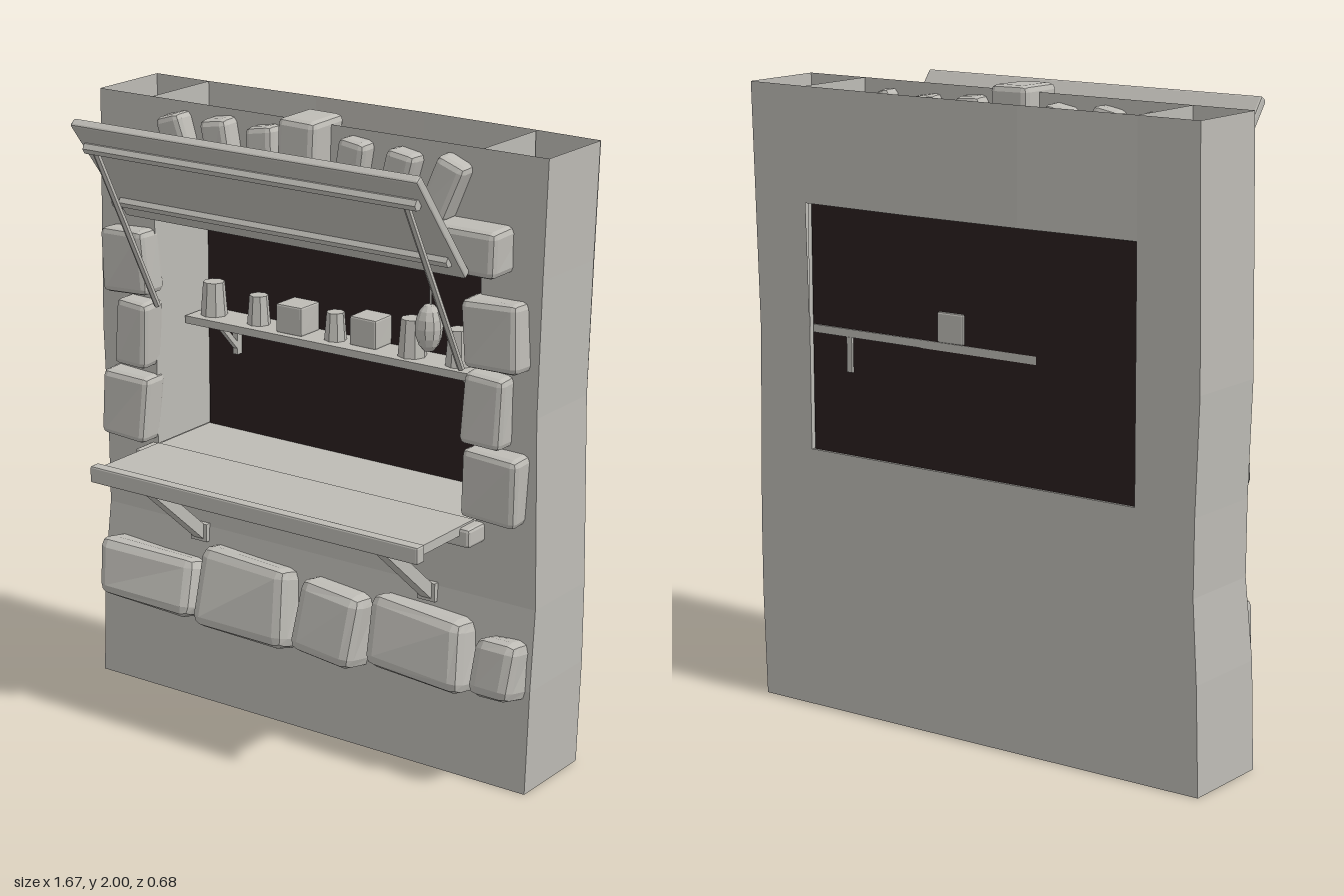
import * as THREE from 'three';
import { RoundedBoxGeometry } from 'three/addons/geometries/RoundedBoxGeometry.js';

const stoneGrey = new THREE.MeshStandardMaterial({ color: 0xbdbbb5, flatShading: true, side: THREE.DoubleSide });
stoneGrey.name = 'stone grey';
const darkBrown = new THREE.MeshStandardMaterial({ color: 0x2a1e1f, side: THREE.DoubleSide });
darkBrown.name = 'dark brown';

export function createModel() {
  const root = new THREE.Group();
  root.name = 'marketStallWall';

  const add = (name, geometry, x = 0, y = 0, z = 0, material = stoneGrey) => {
    const mesh = new THREE.Mesh(geometry, material);
    mesh.name = name;
    mesh.position.set(x, y, z);
    root.add(mesh);
    return mesh;
  };
  // Box given by its limits on each axis
  const box = (name, [x0, x1], [y0, y1], [z0, z1], material) =>
    add(name, new THREE.BoxGeometry(x1 - x0, y1 - y0, z1 - z0),
      (x0 + x1) / 2, (y0 + y1) / 2, (z0 + z1) / 2, material);
  // Square or round bar between two points
  const bar = (name, a, b, radius, sides = 6) => {
    const from = new THREE.Vector3(...a), to = new THREE.Vector3(...b);
    const dir = to.clone().sub(from);
    const geo = new THREE.CylinderGeometry(radius, radius, dir.length(), sides);
    if (sides === 4) geo.rotateY(Math.PI / 4);
    const mesh = add(name, geo);
    mesh.position.copy(from).add(to).multiplyScalar(0.5);
    mesh.quaternion.setFromUnitVectors(new THREE.Vector3(0, 1, 0), dir.normalize());
    return mesh;
  };
  // Chamfered, slightly uneven stone
  const stone = (name, [x0, x1], [y0, y1], [z0, z1], rough = 0.01, radius = 0.02) => {
    const geo = new RoundedBoxGeometry(x1 - x0, y1 - y0, z1 - z0, 1, radius);
    const p = geo.attributes.position;
    for (let i = 0; i < p.count; i++) {
      const x = p.getX(i), y = p.getY(i), z = p.getZ(i), s = x0 * 37 + y0 * 19;
      p.setXYZ(i, x + rough * Math.sin(s + y * 14 + z * 9),
        y + rough * Math.sin(s * 1.7 + x * 11 + z * 8),
        z + rough * Math.sin(s * 2.3 + x * 9 + y * 12));
    }
    geo.computeVertexNormals();
    return add(name, geo, (x0 + x1) / 2, (y0 + y1) / 2, (z0 + z1) / 2);
  };

  // Hollow wall: rows of y, left x, right x, front z, open at the top
  const rows = [
    [0, -0.84, 0.815, -0.02], [0.34, -0.83, 0.825, -0.02], [0.6, -0.815, 0.825, -0.04],
    [0.84, -0.817, 0.82, -0.04], [1.2, -0.83, 0.812, -0.04], [1.62, -0.825, 0.82, -0.04],
    [1.98, -0.82, 0.83, -0.04],
  ];
  const hole = 0.61, back = -0.325, pos = [];
  const quad = (a, b, c, d) => pos.push(...a, ...b, ...c, ...a, ...c, ...d);
  const strip = (x0, x1, x2, x3, y0, y1, z0, z1, z2, z3) =>
    quad([x0, y0, z0], [x1, y0, z1], [x2, y1, z2], [x3, y1, z3]);
  const backZ = (x, y) => back - (y > 1.6 ? 0.02 * Math.max(0, Math.cos((x - 0.15) * 2.1)) : 0);
  for (let i = 0; i < rows.length - 1; i++) {
    const [y0, l0, r0, f0] = rows[i], [y1, l1, r1, f1] = rows[i + 1];
    strip(l0, l0, l1, l1, y0, y1, back, f0, f1, back);
    strip(r0, r0, r1, r1, y0, y1, f0, back, back, f1);
    const xs0 = [l0, -hole, -0.2, 0.2, hole, r0], xs1 = [l1, -hole, -0.2, 0.2, hole, r1];
    for (let k = 0; k < 5; k++) {
      const a = xs0[k], b = xs0[k + 1], c = xs1[k + 1], d = xs1[k];
      if (k > 0 && k < 4 && (i === 3 || i === 4)) continue;
      strip(a, b, c, d, y0, y1, f0, f0, f1, f1);
      strip(b, a, d, c, y0, y1, backZ(b, y0), backZ(a, y0), backZ(d, y1), backZ(c, y1));
    }
    // Inner sides of the opening, running on as dividers to the top
    if (i > 2) {
      strip(-hole, -hole, -hole, -hole, y0, y1, f0, back, back, f1);
      strip(hole, hole, hole, hole, y0, y1, back, f0, f1, back);
    }
  }
  const [, l, r, f] = rows[0];
  quad([l, 0, back], [r, 0, back], [r, 0, f], [l, 0, f]);
  // Ceiling of the opening
  quad([-hole, 1.62, back], [hole, 1.62, back], [hole, 1.62, -0.04], [-hole, 1.62, -0.04]);
  const wall = new THREE.BufferGeometry();
  wall.setAttribute('position', new THREE.Float32BufferAttribute(pos, 3));
  wall.computeVertexNormals();
  add('wall', wall);

  // Dark panel closing the back of the opening, slightly recessed
  box('backPanel', [-0.605, 0.605], [0.84, 1.617], [-0.314, -0.307], darkBrown);

  // Jamb stones on both sides
  [[0.86, 1.08, 0.785], [1.1, 1.32, 0.73], [1.34, 1.55, 0.78]].forEach(([y0, y1, x]) => {
    stone('leftJambStone', [0.59, x], [y0, y1], [-0.07, 0.03], 0.006);
    stone('rightJambStone', [-x, -0.605], [y0, y1], [-0.07, 0.03], 0.006);
  });

  // Lintel with a fanned row of stones and a keystone
  stone('lintel', [-0.705, 0.72], [1.625, 1.765], [-0.11, 0.068], 0.003);
  stone('keystone', [-0.065, 0.07], [1.765, 2], [-0.11, 0.055], 0.003);
  [-0.49, -0.32, -0.16, 0.165, 0.335, 0.5].forEach((x) => {
    const s = stone('archStone', [x - 0.05, x + 0.05], [1.765, 1.95], [-0.09, 0.02], 0.006);
    s.rotation.z = -x * 0.65;
  });

  // Large rough stones along the foot, leaning back
  [[-0.79, -0.41, 0.3, 0.495], [-0.385, -0.035, 0.285, 0.545], [0, 0.24, 0.285, 0.525],
    [0.28, 0.63, 0.305, 0.535], [0.66, 0.815, 0.3, 0.49]].forEach(([x0, x1, y0, y1]) => {
    const s = stone('footStone', [x0, x1], [y0, y1], [-0.08, 0.07], 0.01, 0.035);
    s.rotation.x = -0.22;
  });

  // Sill, counter with front lip, ledge beam and diagonal brackets
  box('sill', [-0.608, 0.608], [0.81, 0.84], [-0.322, -0.035]);
  box('counter', [-0.605, 0.605], [0.815, 0.845], [-0.035, 0.26]);
  stone('counterLip', [-0.62, 0.62], [0.8, 0.855], [0.25, 0.29], 0.001, 0.006);
  stone('ledgeBeam', [-0.64, 0.64], [0.78, 0.84], [-0.06, 0.045], 0.001, 0.01);
  [-0.435, 0.445].forEach((x) => {
    bar('counterBracket', [x, 0.81, 0.235], [x, 0.57, -0.04], 0.028, 4);
    box('bracketFoot', [x - 0.032, x + 0.032], [0.55, 0.61], [-0.06, -0.022]);
  });

  // Raised shutter with battens and prop rods
  const top = [1.965, 0.33], low = [1.63, 0.07];
  const dy = top[0] - low[0], dz = top[1] - low[1];
  const shutter = add('shutter', new RoundedBoxGeometry(1.26, Math.hypot(dy, dz), 0.03, 1, 0.007),
    0.005, (top[0] + low[0]) / 2, (top[1] + low[1]) / 2);
  shutter.rotation.x = Math.atan2(dz, dy);
  bar('upperBatten', [-0.6, 1.88, 0.295], [0.61, 1.88, 0.295], 0.018);
  bar('lowerBatten', [-0.6, 1.68, 0.13], [0.61, 1.68, 0.13], 0.018);
  [-1, 1].forEach((s) => {
    bar('propRod', [s * 0.567, 1.88, 0.295], [s * 0.572, 1.32, 0], 0.011);
  });

  // Inner shelf, a little askew, on two small brackets
  const shelf = box('shelf', [-0.6, 0.6], [1.215, 1.24], [-0.316, -0.18]);
  shelf.rotation.y = 0.008;
  [[-0.48, -0.308], [0.455, -0.322]].forEach(([x, z]) => {
    box('shelfBracket', [x - 0.01, x + 0.01], [1.105, 1.215], [z, z + 0.025]);
    bar('shelfBrace', [x, 1.12, -0.3], [x, 1.215, -0.21], 0.012, 4);
  });

  // Mugs and boxes on the shelf
  [[-0.535, 0.044, 0.11], [-0.355, 0.038, 0.095], [-0.055, 0.036, 0.09],
    [0.235, 0.046, 0.12], [0.405, 0.042, 0.115]].forEach(([x, w, h]) => {
    add('mug', new THREE.CylinderGeometry(w * 0.8, w, h, 8), x, 1.24 + h / 2, -0.245);
  });
  [[-0.205, -0.3], [0.065, -0.32]].forEach(([x, z]) => {
    stone('shelfBox', [x - 0.05, x + 0.05], [1.24, 1.335], [z, z + 0.1], 0.001, 0.006);
  });

  // Hanging bulb on a cord
  const bulb = add('hangingBulb', new THREE.SphereGeometry(0.043, 10, 8), 0.325, 1.355, -0.2);
  bulb.scale.y = 1.8;
  bar('cord', [0.33, 1.42, -0.2], [0.33, 1.56, -0.2], 0.004);

  return root;
}
